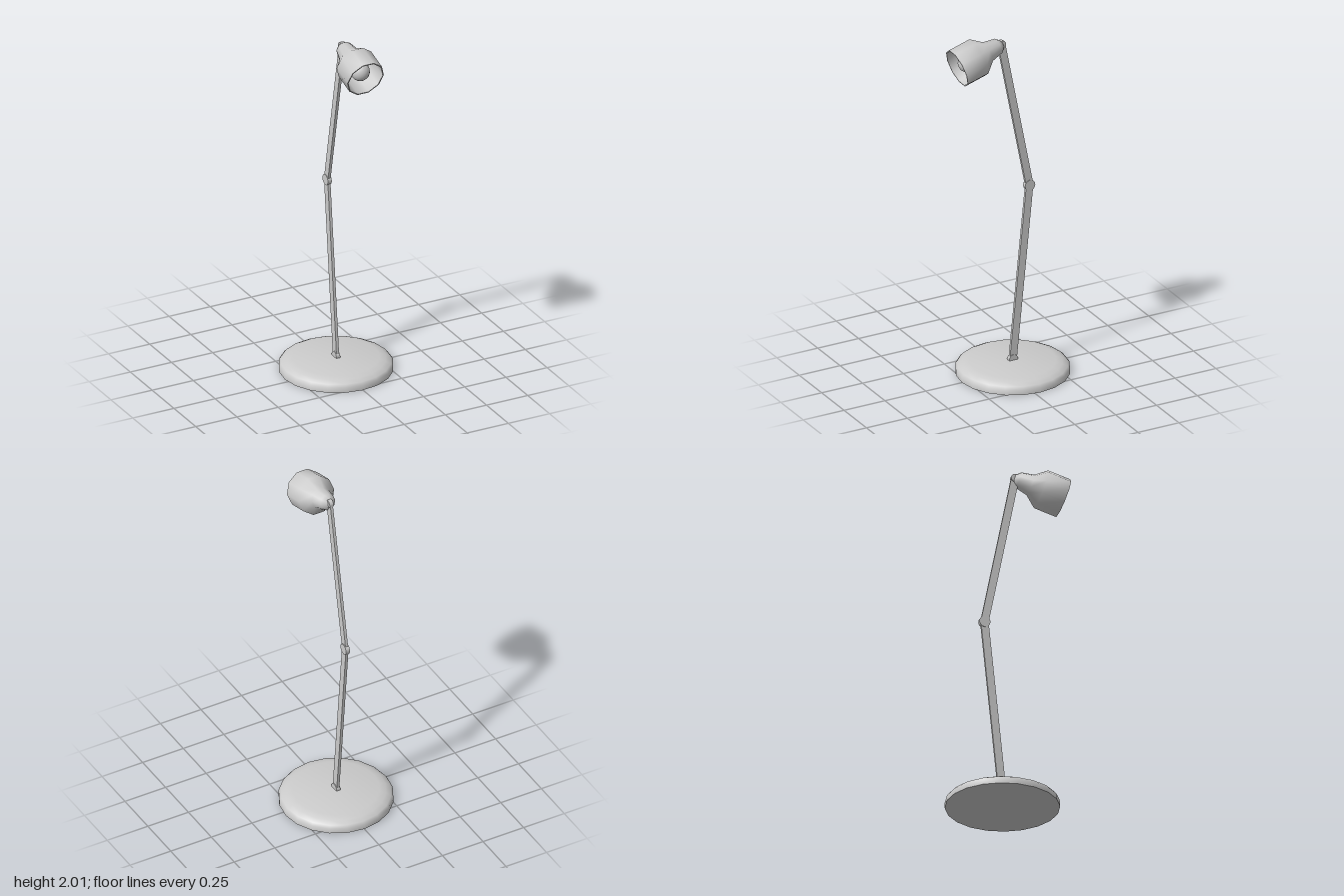
import * as THREE from 'three';
import { toCreasedNormals } from 'three/addons/utils/BufferGeometryUtils.js';

const material = new THREE.MeshStandardMaterial({ color: 0xcccccc });
const shadeMaterial = new THREE.MeshStandardMaterial({ color: 0xcccccc, side: THREE.DoubleSide });

function add(parent, name, geometry, mat = material) {
  const mesh = new THREE.Mesh(geometry, mat);
  mesh.name = name;
  parent.add(mesh);
  return mesh;
}

// Turned part from [radius, height] pairs, starting with a corner on the x axis
function turned(points, sides, crease) {
  const profile = points.map(([r, y]) => new THREE.Vector2(r, y));
  return toCreasedNormals(new THREE.LatheGeometry(profile, sides, Math.PI / 2), crease);
}

// Flat bar between two [y, z] pivots
function addArm(parent, name, [y0, z0], [y1, z1]) {
  const length = Math.hypot(y1 - y0, z1 - z0);
  const arm = add(parent, name, new THREE.BoxGeometry(0.016, length, 0.043));
  arm.position.set(0, (y0 + y1) / 2, (z0 + z1) / 2);
  arm.rotation.x = Math.atan2(z1 - z0, y1 - y0);
}

// Short round pin lying across the arms
function addJoint(parent, name, [y, z], radius) {
  const pin = new THREE.CylinderGeometry(radius, radius, 0.024, 16).rotateZ(Math.PI / 2);
  add(parent, name, pin).position.set(0, y, z);
}

export function createModel() {
  const lamp = new THREE.Group();
  lamp.name = 'deskLamp';

  // Weighted round base with a softened top edge
  const base = turned(
    [[0, 0], [0.31, 0], [0.31, 0.03], [0.298, 0.044], [0.27, 0.058], [0.235, 0.067], [0, 0.068]], 20, 0.9);
  add(lamp, 'base', base).position.z = -0.031;

  // Two arms and three pivots
  const foot = [0.073, -0.031];
  const elbow = [1.082, -0.132];
  const neck = [1.953, 0.039];
  addArm(lamp, 'lowerArm', foot, elbow);
  addArm(lamp, 'upperArm', elbow, neck);
  addJoint(lamp, 'footJoint', foot, 0.027);
  addJoint(lamp, 'elbowJoint', elbow, 0.031);
  addJoint(lamp, 'neckJoint', neck, 0.024);

  // Head: local y runs from the neck out through the opening
  const head = new THREE.Group();
  head.name = 'head';
  head.position.set(0, neck[0], neck[1]);
  head.rotation.x = 1.862;
  lamp.add(head);

  // Shade skin: outer wall, rim, then inner wall back to the socket
  const shade = turned([
    [0, -0.004], [0.022, -0.004], [0.045, 0.02], [0.06, 0.09], [0.11, 0.152], [0.11, 0.282],
    [0.104, 0.282], [0.104, 0.155], [0.055, 0.096], [0, 0.09],
  ], 10, 1.0);
  add(head, 'shade', shade, shadeMaterial);

  // Bulb and its socket
  add(head, 'bulb', new THREE.SphereGeometry(0.053, 16, 12)).position.y = 0.215;
  add(head, 'socket', new THREE.CylinderGeometry(0.03, 0.03, 0.09, 12)).position.y = 0.135;

  return lamp;
}
